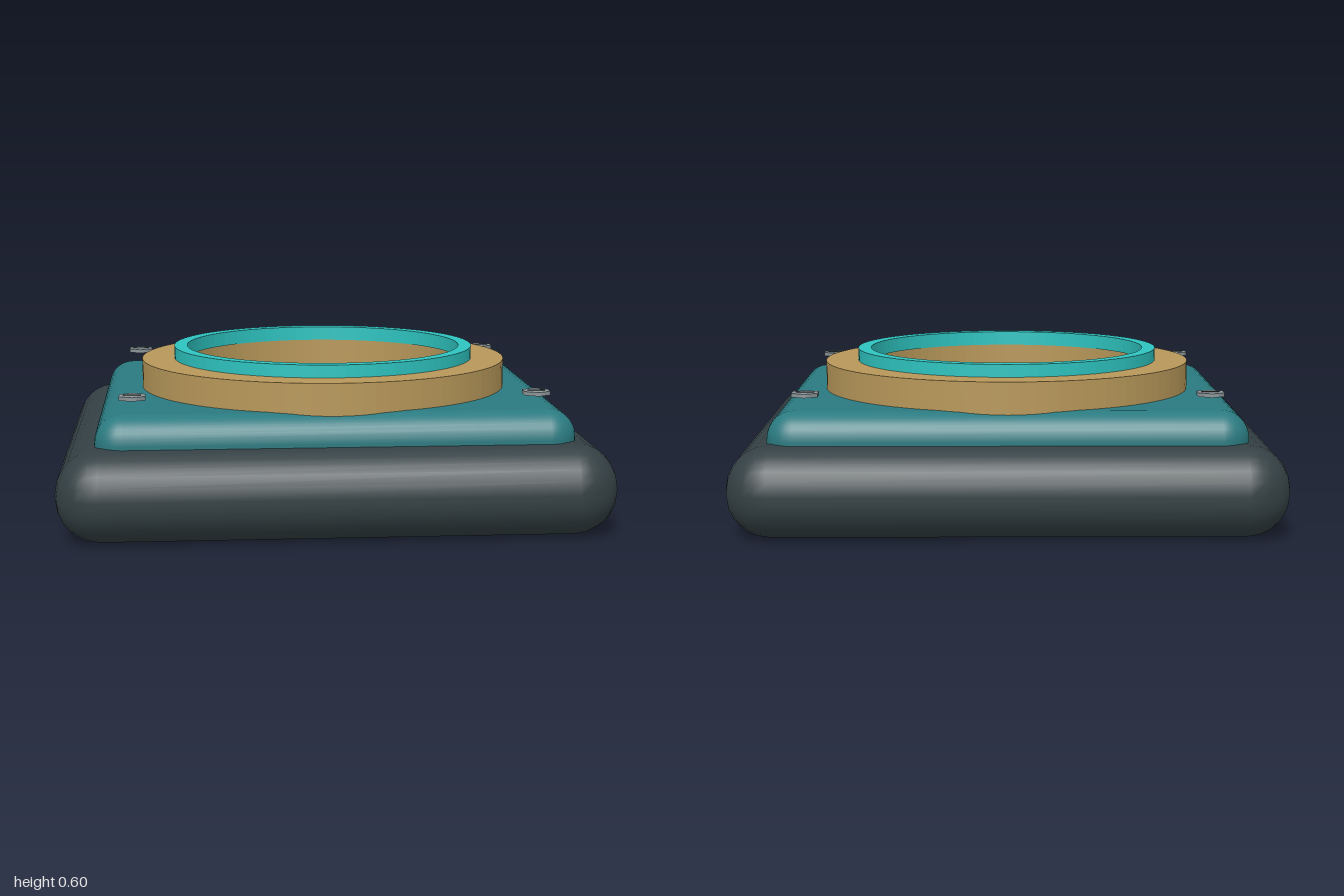
import * as THREE from 'three';
import { RoundedBoxGeometry } from 'three/addons/geometries/RoundedBoxGeometry.js';

const paint = (color) => new THREE.MeshStandardMaterial({ color });
const rubber = paint(0x344044);
const teal = paint(0x2a7a80);
const brass = paint(0xb8985a);
const cyan = paint(0x2ec4c0);
const steel = paint(0x8f989c);

function add(parent, name, geometry, material, x = 0, y = 0, z = 0) {
  const mesh = new THREE.Mesh(geometry, material);
  mesh.name = name;
  mesh.position.set(x, y, z);
  parent.add(mesh);
  return mesh;
}

// Flat-topped ring standing on y = bottom
function ring(inner, outer, bottom, top) {
  const shape = new THREE.Shape().absarc(0, 0, outer, 0, Math.PI * 2);
  shape.holes.push(new THREE.Path().absarc(0, 0, inner, 0, Math.PI * 2, true));
  return new THREE.ExtrudeGeometry(shape, { depth: top - bottom, bevelEnabled: false, curveSegments: 48 })
    .rotateX(-Math.PI / 2)
    .translate(0, bottom, 0);
}

// Hexagonal head with a thin slot bar across it
function makeScrew() {
  const screw = new THREE.Group();
  add(screw, 'screwHead', new THREE.CylinderGeometry(0.054, 0.054, 0.014, 6), steel);
  add(screw, 'screwSlot', new THREE.BoxGeometry(0.064, 0.004, 0.006), rubber, 0, 0.008, 0);
  return screw;
}

export function createModel() {
  const model = new THREE.Group();
  model.name = 'ringMount';

  // Cushioned base and raised plate
  add(model, 'base', new RoundedBoxGeometry(2, 0.33, 1.81, 3, 0.16), rubber, 0, 0.165, 0);
  add(model, 'plate', new RoundedBoxGeometry(1.725, 0.22, 1.52, 4, 0.1), teal, 0, 0.33, 0);

  // Brass collar with the bright lip on top
  add(model, 'collar', ring(0.535, 0.705, 0.42, 0.548), brass);
  add(model, 'lip', ring(0.53, 0.58, 0.54, 0.595), cyan);

  // Corner screws
  for (const sx of [-1, 1]) {
    for (const sz of [-1, 1]) {
      const screw = makeScrew();
      screw.name = `${sz > 0 ? 'front' : 'back'}${sx > 0 ? 'Left' : 'Right'}Screw`;
      screw.position.set(sx * 0.727, 0.493, sz * 0.618);
      model.add(screw);
    }
  }
  return model;
}
